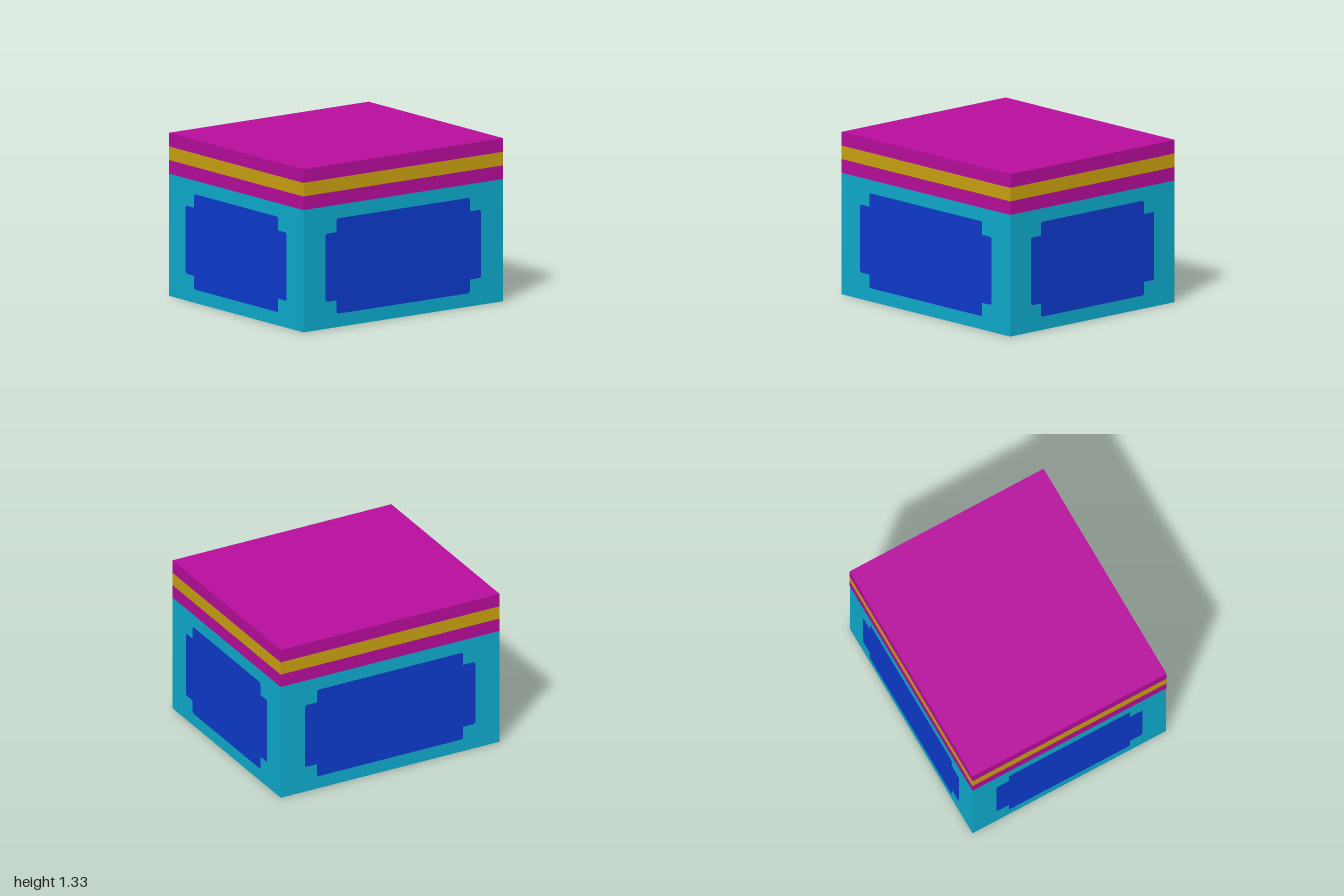
import * as THREE from 'three';

const W = 2, D = 1.778, BODY = 1, BAND = 0.111, GAP = 0.002;

const material = (name, color) => new THREE.MeshStandardMaterial({ name, color });

// Closed outline; corners with radius are rounded, the others stay sharp
function outline(points) {
  const shape = new THREE.Shape();
  const n = points.length;
  points.forEach(([x, y, r], i) => {
    const p = new THREE.Vector2(x, y);
    const toward = ([qx, qy]) => new THREE.Vector2(qx, qy).sub(p).setLength(r).add(p);
    const a = toward(points[(i + n - 1) % n]);
    const b = toward(points[(i + 1) % n]);
    if (i === 0) shape.moveTo(a.x, a.y);
    else shape.lineTo(a.x, a.y);
    if (r > 0) shape.quadraticCurveTo(x, y, b.x, b.y);
  });
  shape.closePath();
  return new THREE.ShapeGeometry(shape, 5);
}

// Rectangle with a square notch cut from each corner
function notchedPanel(w, h, notch) {
  const r = 0.022, points = [];
  for (const [sx, sy] of [[1, 1], [-1, 1], [-1, -1], [1, -1]]) {
    const corner = [
      [sx * w, sy * (h - notch), r],
      [sx * (w - notch), sy * (h - notch), 0],
      [sx * (w - notch), sy * h, r],
    ];
    points.push(...(sx * sy > 0 ? corner : corner.reverse()));
  }
  return outline(points);
}

export function createModel() {
  const model = new THREE.Group();
  model.name = 'box';
  const cyan = material('cyan', 0x0eaacc);
  const blue = material('blue', 0x0d3acc);
  const magenta = material('magenta', 0xb60d9b);
  const gold = material('gold', 0xc8a010);

  function add(name, geometry, mat, x = 0, y = 0, z = 0) {
    const mesh = new THREE.Mesh(geometry, mat);
    mesh.name = name;
    mesh.position.set(x, y, z);
    model.add(mesh);
    return mesh;
  }

  // Body, set in by the thickness of the painted panels
  add('body', new THREE.BoxGeometry(W - 2 * GAP, BODY - GAP, D - 2 * GAP), cyan, 0, (BODY + GAP) / 2);

  // Lid in three layers
  [['lidLower', magenta], ['lidStripe', gold], ['lidUpper', magenta]].forEach(([name, mat], i) => {
    add(name, new THREE.BoxGeometry(W, BAND, D), mat, 0, BODY + BAND * (i + 0.5));
  });

  // Painted panels on the four walls
  const wide = notchedPanel(0.778, 0.389, 0.111);
  const narrow = notchedPanel(0.667, 0.389, 0.111);
  add('frontPanel', wide, blue, 0, 0.5, D / 2);
  add('backPanel', wide, blue, 0, 0.5, -D / 2).rotation.y = Math.PI;
  add('leftPanel', narrow, blue, W / 2, 0.5, 0).rotation.y = Math.PI / 2;
  add('rightPanel', narrow, blue, -W / 2, 0.5, 0).rotation.y = -Math.PI / 2;

  // Painted panel underneath
  const base = outline([[0.778, 0.667, 0.022], [-0.778, 0.667, 0.022], [-0.778, -0.667, 0.022], [0.778, -0.667, 0.022]]);
  add('bottomPanel', base, blue).rotation.x = Math.PI / 2;

  return model;
}
